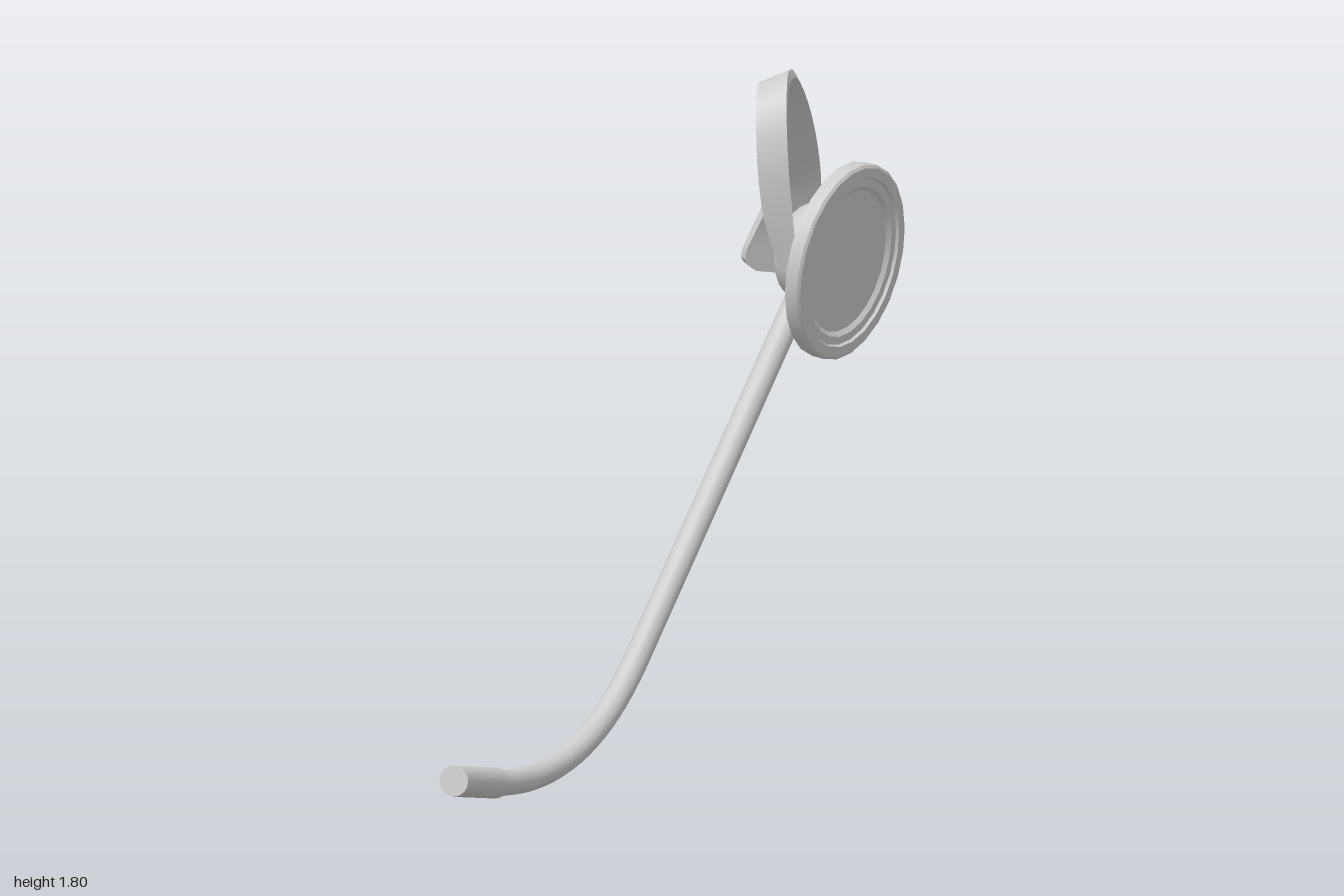
import * as THREE from 'three';
import { toCreasedNormals } from 'three/addons/utils/BufferGeometryUtils.js';

const V = (a) => new THREE.Vector3(...a);
const UP = new THREE.Vector3(0, 1, 0);
const material = new THREE.MeshStandardMaterial({ color: 0xcccccc });

function addMesh(parent, name, geometry) {
  const mesh = new THREE.Mesh(geometry, material);
  mesh.name = name;
  parent.add(mesh);
  return mesh;
}

// Turned part from [radius, height] pairs, with sharp edges kept
function turned(profile, sides, crease = 0.6) {
  const points = profile.map(([r, h]) => new THREE.Vector2(r, h));
  return toCreasedNormals(new THREE.LatheGeometry(points, sides), crease);
}

// Flat band lofted between a left and a right edge curve
function band(left, right, steps, thickness) {
  const curveL = new THREE.CatmullRomCurve3(left.map(V));
  const curveR = new THREE.CatmullRomCurve3(right.map(V));
  const mid = (t) => curveL.getPoint(t).add(curveR.getPoint(t));
  const positions = [];
  const index = [];
  for (let i = 0; i <= steps; i++) {
    const t = i / steps;
    const l = curveL.getPoint(t);
    const r = curveR.getPoint(t);
    const along = mid(Math.min(1, t + 0.01)).sub(mid(Math.max(0, t - 0.01)));
    const n = r.clone().sub(l).cross(along).normalize().multiplyScalar(thickness / 2);
    for (const p of [l.clone().add(n), r.clone().add(n), r.clone().sub(n), l.clone().sub(n)]) {
      positions.push(p.x, p.y, p.z);
    }
    if (i === steps) continue;
    for (let k = 0; k < 4; k++) {
      const a = i * 4 + k;
      const b = i * 4 + ((k + 1) % 4);
      index.push(a, b, b + 4, a, b + 4, a + 4);
    }
  }
  const e = steps * 4;
  index.push(0, 3, 2, 0, 2, 1, e, e + 1, e + 2, e, e + 2, e + 3);
  const geometry = new THREE.BufferGeometry();
  geometry.setAttribute('position', new THREE.Float32BufferAttribute(positions, 3));
  geometry.setIndex(index);
  return toCreasedNormals(geometry, 0.6);
}

export function createModel() {
  const model = new THREE.Group();

  // Earpiece: its axis points outward, slightly forward and down
  const earpiece = new THREE.Group();
  earpiece.name = 'earpiece';
  earpiece.position.set(0.437, 1.288, -0.597);
  earpiece.quaternion.setFromUnitVectors(UP, V([0.86, -0.15, 0.48]).normalize());
  model.add(earpiece);

  addMesh(earpiece, 'earpieceDisc', turned([
    [0, -0.022], [0.27, -0.022], [0.27, 0.016], [0.262, 0.022], [0.234, 0.022],
    [0.23, 0.014], [0.208, 0.014], [0.196, 0.004], [0, 0.004],
  ], 24, 0.4));

  // Rounded hub on the back of the disc
  addMesh(earpiece, 'hub', turned([
    [0, -0.175], [0.07, -0.173], [0.105, -0.162], [0.125, -0.143], [0.135, -0.115], [0.135, -0.02],
  ], 24));

  // Ear hook: a band that rises in front, arches back and widens to the tip
  const hookLeft = [
    [0.27, 1.28, -0.47], [0.225, 1.42, -0.435], [0.207, 1.57, -0.42], [0.203, 1.7, -0.45],
    [0.207, 1.765, -0.51], [0.22, 1.755, -0.6], [0.24, 1.66, -0.73], [0.245, 1.53, -0.83],
    [0.23, 1.44, -0.875], [0.185, 1.34, -0.885], [0.15, 1.25, -0.885], [0.18, 1.215, -0.91],
  ];
  const hookRight = [
    [0.31, 1.28, -0.465], [0.302, 1.42, -0.44], [0.29, 1.57, -0.425], [0.285, 1.71, -0.45],
    [0.288, 1.79, -0.51], [0.3, 1.795, -0.6], [0.325, 1.7, -0.76], [0.345, 1.57, -0.875],
    [0.353, 1.45, -0.945], [0.345, 1.33, -0.985], [0.3, 1.23, -0.975], [0.24, 1.205, -0.945],
  ];
  addMesh(model, 'earHook', band(hookLeft, hookRight, 33, 0.024));

  // Boom: straight from the hub, then curving forward to the microphone
  const straight = new THREE.LineCurve3(V([0.325, 1.22, -0.655]), V([-0.1, 0.3, 0.02]));
  const bend = new THREE.CubicBezierCurve3(
    V([-0.1, 0.3, 0.02]), V([-0.215, 0.051, 0.203]), V([-0.345, 0.015, 0.42]), V([-0.46, 0.064, 0.73]));
  const boom = new THREE.CurvePath();
  boom.add(straight);
  boom.add(bend);
  addMesh(model, 'boom', new THREE.TubeGeometry(boom, 48, 0.035, 16));

  // Microphone at the end of the boom
  const from = V([-0.455, 0.063, 0.72]);
  const to = V([-0.556, 0.107, 0.985]);
  const axis = to.clone().sub(from);
  const mic = addMesh(model, 'microphone', new THREE.CylinderGeometry(0.042, 0.042, axis.length(), 20));
  mic.position.copy(from).add(to).multiplyScalar(0.5);
  mic.quaternion.setFromUnitVectors(UP, axis.normalize());

  return model;
}
